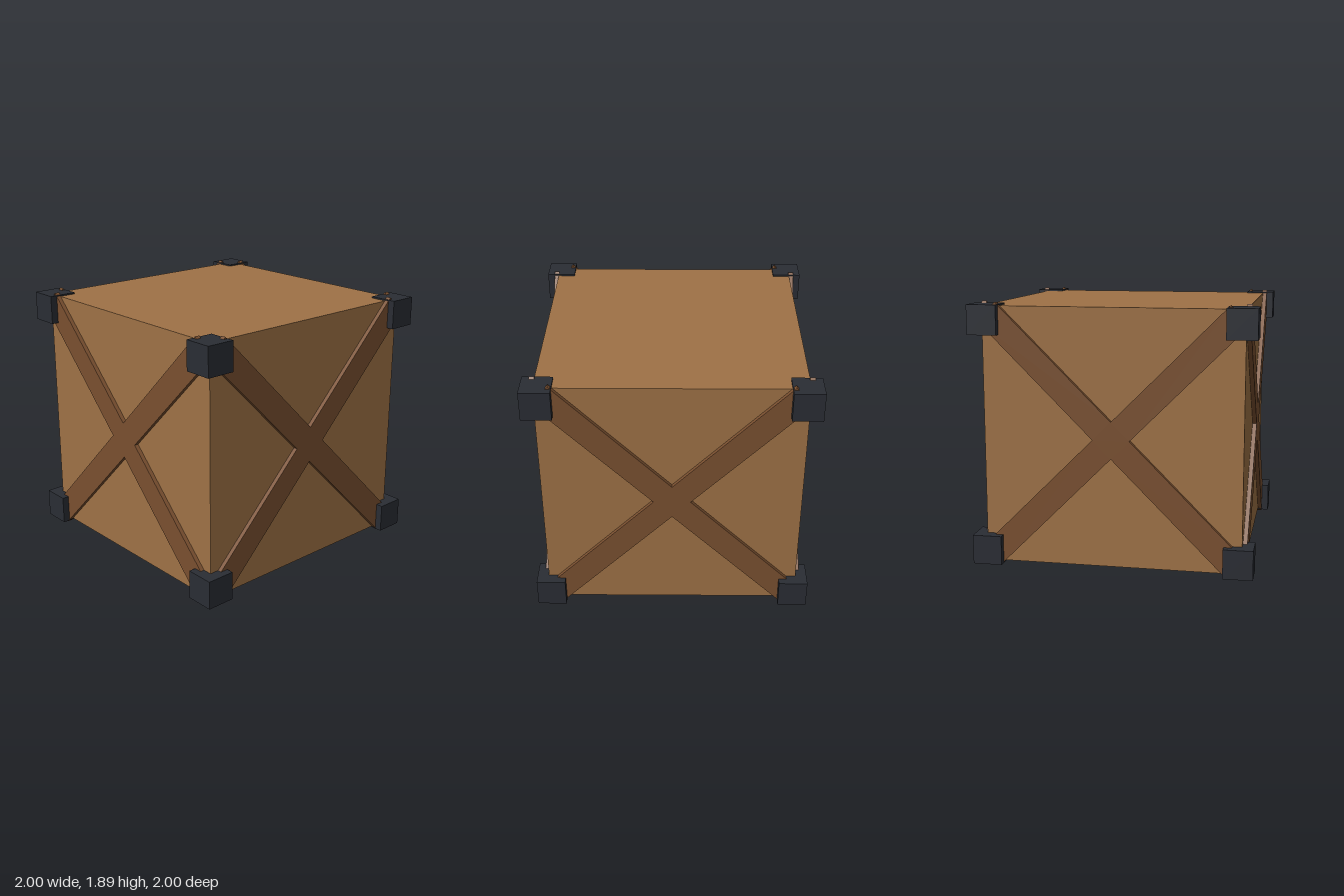
import * as THREE from 'three';

const MID = 0.943; // height of the crate's centre

export function createModel() {
  const crate = new THREE.Group();
  crate.name = 'crate';
  const material = (color) => new THREE.MeshStandardMaterial({ color });
  const wood = material(0x9f7246), darkWood = material(0x7a5030), iron = material(0x2a2d34);

  // Main body
  const body = new THREE.Mesh(new THREE.BoxGeometry(1.834, 1.834, 1.834), wood);
  body.name = 'body';
  body.position.y = MID;
  crate.add(body);

  // Crossed planks as one X outline: four arms, each with an inner notch
  const halfLength = 1.241, halfWidth = 0.0925;
  const points = [];
  for (let i = 0; i < 4; i++) {
    const turn = Math.PI / 4 + i * Math.PI / 2;
    for (const [x, y] of [[halfLength, -halfWidth], [halfLength, halfWidth], [halfWidth, halfWidth]]) {
      points.push(new THREE.Vector2(x, y).rotateAround(new THREE.Vector2(), turn));
    }
  }
  const crossGeometry = new THREE.ExtrudeGeometry(new THREE.Shape(points), { depth: 0.036, bevelEnabled: false });
  crossGeometry.translate(0, 0, 0.912);

  // One cross on each of the four upright sides
  ['front', 'left', 'back', 'right'].forEach((side, i) => {
    const cross = new THREE.Mesh(crossGeometry, darkWood);
    cross.name = side + 'CrossBrace';
    cross.position.y = MID;
    cross.rotation.y = i * Math.PI / 2;
    crate.add(cross);
  });

  // Metal blocks on the eight corners
  const blockGeometry = new THREE.BoxGeometry(0.21, 0.21, 0.21);
  for (const x of [-1, 1]) for (const y of [-1, 1]) for (const z of [-1, 1]) {
    const block = new THREE.Mesh(blockGeometry, iron);
    block.name = (y > 0 ? 'top' : 'bottom') + (z > 0 ? 'Front' : 'Back') + (x > 0 ? 'Left' : 'Right') + 'Corner';
    block.position.set(x * 0.895, MID + y * 0.823, z * 0.895);
    crate.add(block);
  }
  return crate;
}
